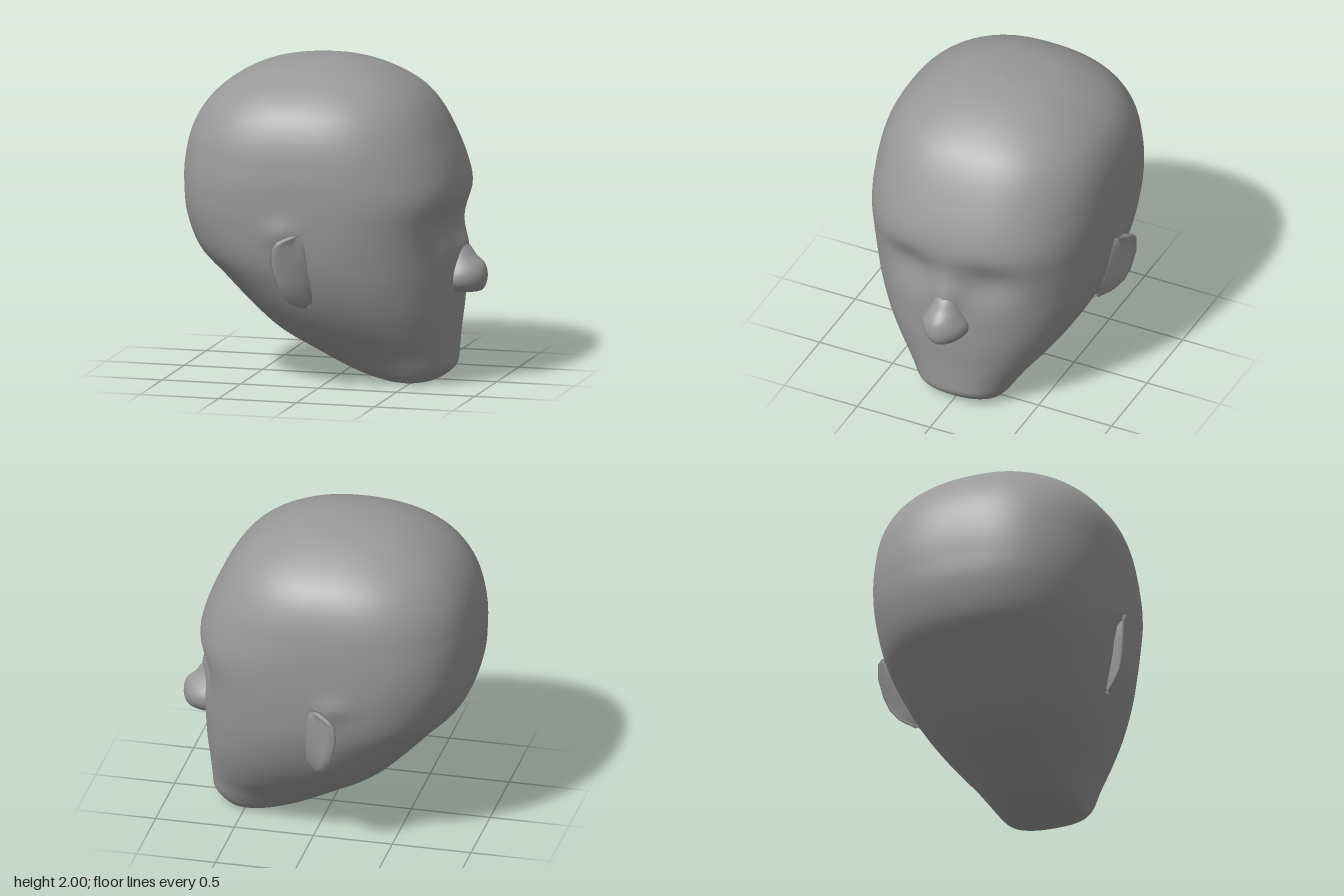
import * as THREE from 'three';

const material = new THREE.MeshStandardMaterial({ color: 0x999999 });

// Skins closed rings (counter-clockwise seen from above, bottom to top) and caps both ends.
function loft(name, rings, flip = false) {
  const n = rings[0].length, pos = [], idx = [];
  const add = (a, b, c) => idx.push(...(flip ? [a, c, b] : [a, b, c]));
  rings.forEach((r) => r.forEach((p) => pos.push(...p)));
  for (let i = 0; i < rings.length - 1; i++) {
    for (let j = 0; j < n; j++) {
      const k = (j + 1) % n, a = i * n + j, b = i * n + k;
      add(a, b, b + n);
      add(a, b + n, a + n);
    }
  }
  [0, rings.length - 1].forEach((i) => {
    const centre = pos.length / 3;
    pos.push(...[0, 1, 2].map((c) => rings[i].reduce((s, p) => s + p[c], 0) / n));
    for (let j = 0; j < n; j++) {
      const a = i * n + j, b = i * n + (j + 1) % n;
      if (i === 0) add(centre, b, a); else add(centre, a, b);
    }
  });
  const geometry = new THREE.BufferGeometry();
  geometry.setAttribute('position', new THREE.Float32BufferAttribute(pos, 3));
  geometry.setIndex(idx);
  geometry.computeVertexNormals();
  const mesh = new THREE.Mesh(geometry, material);
  mesh.name = name;
  return mesh;
}

const smooth = (points) =>
  new THREE.CatmullRomCurve3(points.map((p) => new THREE.Vector3(...p)), false, 'catmullrom', 0.5);
const bump = (a, b) => Math.exp(-a * a - b * b);

// Point on a unit superellipse of roundness n, evenly spaced by angle
function superellipse(angle, n) {
  const c = Math.cos(angle), s = Math.sin(angle);
  const r = (Math.abs(c) ** n + Math.abs(s) ** n) ** (-1 / n);
  return [c * r, -s * r];
}

// Skull levels: height, back x, front x, half width, x of widest point, roundness
const LEVELS = [
  [0.0, 0.37, 0.57, 0.2, 0.48, 2.4],
  [0.015, 0.28, 0.64, 0.25, 0.48, 2.4],
  [0.05, 0.15, 0.695, 0.285, 0.46, 2.4],
  [0.1, 0.03, 0.735, 0.32, 0.42, 2.4],
  [0.19, -0.14, 0.742, 0.385, 0.34, 2.4],
  [0.32, -0.36, 0.75, 0.495, 0.22, 2.4],
  [0.48, -0.53, 0.765, 0.602, 0.1, 2.4],
  [0.66, -0.7, 0.772, 0.685, 0, 2.4],
  [0.82, -0.85, 0.775, 0.73, -0.08, 2.45],
  [1.02, -0.925, 0.785, 0.755, -0.12, 2.55],
  [1.19, -0.942, 0.803, 0.763, -0.14, 2.6],
  [1.36, -0.94, 0.765, 0.758, -0.14, 2.55],
  [1.55, -0.9, 0.685, 0.732, -0.14, 2.5],
  [1.7, -0.82, 0.6, 0.672, -0.13, 2.45],
  [1.81, -0.715, 0.5, 0.575, -0.12, 2.4],
  [1.9, -0.575, 0.36, 0.44, -0.11, 2.3],
  [1.96, -0.42, 0.21, 0.3, -0.1, 2.2],
  [1.99, -0.23, 0.07, 0.15, -0.08, 2.1],
  [2.0, -0.06, -0.02, 0.02, -0.04, 2],
];

function head() {
  const spans = smooth(LEVELS.map((l) => l.slice(0, 3)));
  const shapes = smooth(LEVELS.map((l) => l.slice(3)));
  const rings = [], steps = 80, sides = 112;
  for (let i = 0; i <= steps; i++) {
    const { x: y, y: back, z: front } = spans.getPoint(i / steps);
    const { x: width, y: mid, z: n } = shapes.getPoint(i / steps);
    const ring = [];
    for (let j = 0; j < sides; j++) {
      const [u, v] = superellipse((j / sides) * Math.PI * 2, n);
      let x = mid + u * (u > 0 ? front - mid : mid - back);
      let z = v * width;
      if (u > 0) {
        // eye sockets below the brow, and the bridge of the nose between them
        x -= 0.055 * u * bump((Math.abs(z) - 0.27) / 0.17, (y - 0.99) / 0.14);
        x += 0.05 * u * bump(z / 0.08, (y - 0.85) / 0.12);
      }
      // swelling behind the top of each ear
      z += 0.025 * v * bump((x + 0.18) / 0.1, (y - 1.0) / 0.07);
      ring.push([x, Math.max(y, 0), z]);
    }
    rings.push(ring);
  }
  return loft('head', rings);
}

// Nose tip levels: height, front x, half width
function nose() {
  const curve = smooth([
    [0.56, 0.86, 0.05], [0.575, 0.91, 0.1], [0.62, 0.935, 0.143], [0.68, 0.94, 0.148],
    [0.74, 0.923, 0.115], [0.79, 0.87, 0.09], [0.84, 0.835, 0.07], [0.9, 0.78, 0.05],
  ]);
  const rings = [], steps = 24, sides = 32, root = 0.77;
  for (let i = 0; i <= steps; i++) {
    const { x: y, y: front, z: width } = curve.getPoint(i / steps);
    const ring = [];
    for (let j = 0; j < sides; j++) {
      const [u, v] = superellipse((j / sides) * Math.PI * 2, 1.8);
      ring.push([root + u * (u > 0 ? front - root : 0.07), y, v * width]);
    }
    rings.push(ring);
  }
  return loft('nose', rings);
}

// Ear levels: height, rear edge x, front x, outer z, root z on the head
const EAR = [
  [0.53, -0.08, -0.03, 0.665, 0.6],
  [0.56, -0.13, 0.05, 0.725, 0.61],
  [0.62, -0.16, 0.05, 0.775, 0.645],
  [0.7, -0.19, 0.04, 0.805, 0.68],
  [0.82, -0.22, 0.025, 0.828, 0.715],
  [0.92, -0.217, 0.01, 0.83, 0.735],
  [0.965, -0.18, 0, 0.825, 0.74],
  [1.0, -0.11, -0.02, 0.795, 0.745],
];

function ear(side) {
  const rings = EAR.map(([y, rear, front, outer, root]) => {
    const mid = (rear + front) / 2;
    // front edge, back of the flap, rim, then the dished outer face
    return [
      [front, root - 0.02],
      [mid + 0.07, root - 0.03],
      [rear + 0.09, root - 0.02],
      [rear + 0.075, (root + outer) / 2],
      [rear, outer - 0.012],
      [rear + 0.015, outer],
      [rear + 0.055, outer - 0.01],
      [mid + 0.01, root + (outer - root) * 0.45],
      [front - 0.05, root + 0.03],
    ].map(([x, z]) => [x, y, z * side]);
  });
  return loft(side > 0 ? 'leftEar' : 'rightEar', rings, side < 0);
}

export function createModel() {
  const group = new THREE.Group();
  group.name = 'headBust';
  group.add(head(), nose(), ear(1), ear(-1));
  return group;
}
